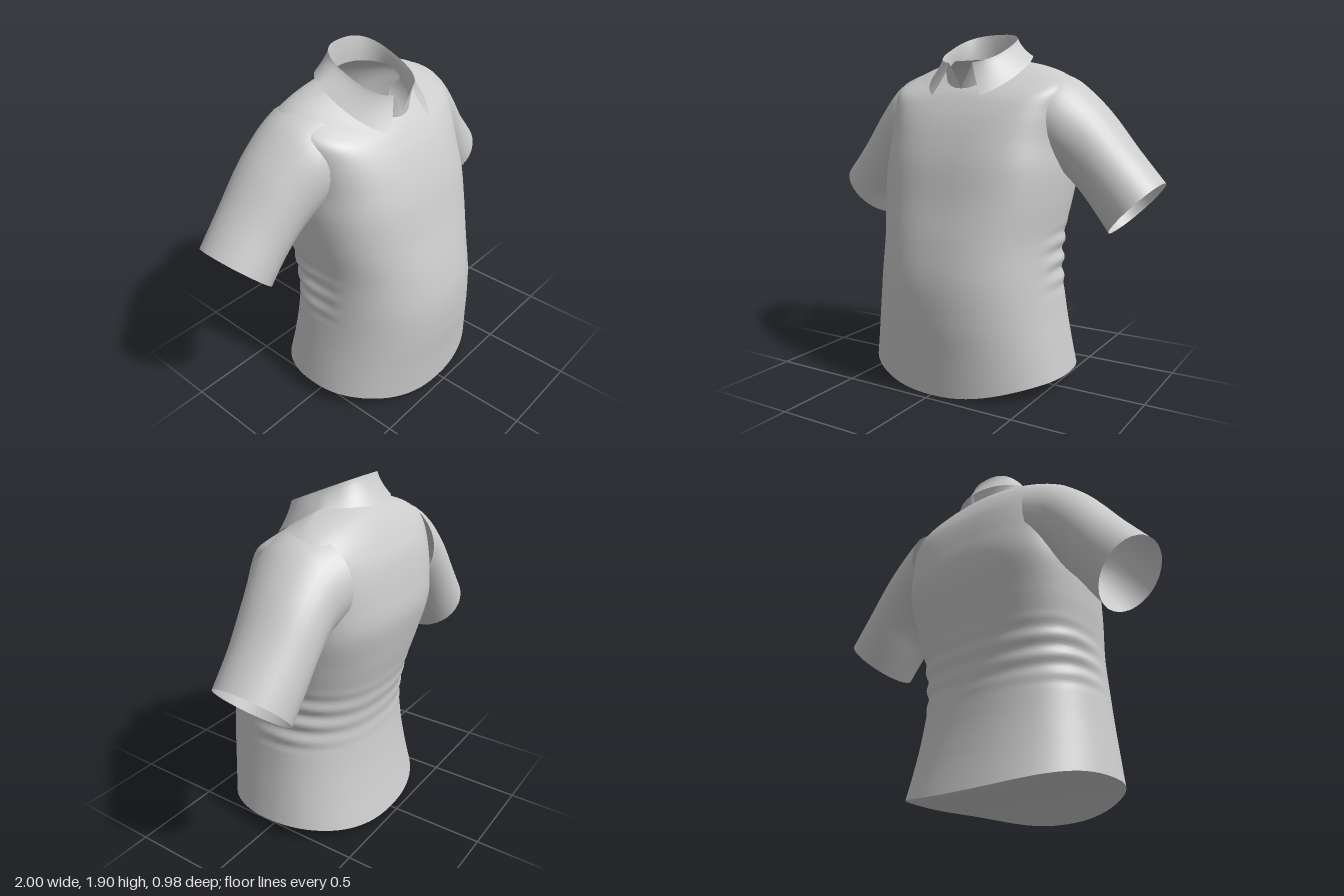
import * as THREE from 'three';

const material = new THREE.MeshStandardMaterial({ color: 0xcccccc, side: THREE.DoubleSide });
const mix = THREE.MathUtils.lerp;
const smooth = THREE.MathUtils.smoothstep;
const power = (x, p) => Math.sign(x) * Math.abs(x) ** p;

// Smooth surface from rows of points; fn(u, v) gives a point, keep() can leave openings.
function loft(name, rows, cols, closed, fn, keep = () => true) {
  const n = closed ? cols : cols + 1;
  const pos = [], idx = [];
  for (let i = 0; i <= rows; i++)
    for (let j = 0; j < n; j++) pos.push(...fn(j / cols, i / rows));
  for (let i = 0; i < rows; i++)
    for (let j = 0; j < cols; j++) {
      const k = (j + 1) % n;
      const a = i * n + j, b = i * n + k, c = b + n, d = a + n;
      if (keep(pos.slice(a * 3, a * 3 + 3))) idx.push(a, b, c, a, c, d);
    }
  const g = new THREE.BufferGeometry();
  g.setAttribute('position', new THREE.Float32BufferAttribute(pos, 3));
  g.setIndex(idx);
  g.computeVertexNormals();
  const mesh = new THREE.Mesh(g, material);
  mesh.name = name;
  return mesh;
}

// Catmull-Rom blend between rows of a parameter table, t in 0..1.
function blend(table, t) {
  const f = t * (table.length - 1);
  const i = Math.min(Math.floor(f), table.length - 2), s = f - i;
  const row = (k) => table[Math.max(0, Math.min(table.length - 1, k))];
  const [p, a, b, q] = [row(i - 1), row(i), row(i + 1), row(i + 2)];
  return a.map((_, k) => {
    const m0 = (b[k] - p[k]) / 2, m1 = (q[k] - a[k]) / 2, d = a[k] - b[k];
    return a[k] + s * (m0 + s * (-3 * d - 2 * m0 - m1 + s * (2 * d + m0 + m1)));
  });
}

// Ring: front y, front z, back y, back z, side x, side y, side z, roundness
const TORSO = [
  [0.00, 0.455, 0.01, -0.465, 0.58, 0.085, 0.00, 0.88],
  [0.20, 0.470, 0.20, -0.420, 0.555, 0.23, 0.00, 0.88],
  [0.40, 0.488, 0.40, -0.385, 0.525, 0.41, 0.00, 0.88],
  [0.60, 0.487, 0.60, -0.370, 0.500, 0.60, 0.00, 0.86],
  [0.80, 0.452, 0.80, -0.400, 0.490, 0.80, -0.02, 0.82],
  [1.00, 0.400, 1.00, -0.450, 0.510, 1.00, -0.06, 0.76],
  [1.20, 0.352, 1.20, -0.490, 0.520, 1.17, -0.11, 0.70],
  [1.34, 0.302, 1.36, -0.477, 0.512, 1.32, -0.15, 0.66],
  [1.44, 0.255, 1.50, -0.448, 0.520, 1.47, -0.16, 0.68],
  [1.51, 0.212, 1.59, -0.408, 0.525, 1.59, -0.16, 0.74],
  [1.55, 0.184, 1.66, -0.365, 0.465, 1.66, -0.16, 0.82],
  [1.575, 0.163, 1.715, -0.32, 0.345, 1.712, -0.14, 0.90],
  [1.59, 0.147, 1.76, -0.255, 0.180, 1.745, -0.08, 0.95],
];

function torsoPoint(u, v) {
  const [fy, fz, by, bz, sx, sy, sz, p] = blend(TORSO, v);
  const s = Math.sin(u * Math.PI * 2), c = Math.cos(u * Math.PI * 2);
  const ey = c > 0 ? fy : by, ez = c > 0 ? fz : bz;
  // ring height bends softly at the hem and tilts straight at the neck
  const y = sy + (ey - sy) * Math.abs(c) ** mix(c > 0 ? 3.5 : 2.5, 1.1, smooth(v, 0.5, 0.9));
  // waist folds, fading in from the sides round the back
  const area = Math.max(0, 1 - ((y - 0.69) / 0.2) ** 2) * smooth(-c, -0.3, 0.15);
  const k = 1 + area * (0.007 + 0.014 * s * s) * Math.sin((y - 0.05 * s * s) * 62);
  return [k * sx * power(s, p), y, sz + k * (ez - sz) * Math.abs(c) ** p];
}

// Sleeve ring: top x, top y, bottom x, bottom y, centre z, half depth
const SLEEVE = [
  [0.40, 1.685, 0.40, 1.20, -0.160, 0.275],
  [0.535, 1.628, 0.49, 1.14, -0.160, 0.252],
  [0.69, 1.485, 0.575, 1.045, -0.180, 0.228],
  [0.85, 1.285, 0.655, 0.935, -0.193, 0.212],
  [1.00, 1.11, 0.73, 0.83, -0.195, 0.205],
];

function sleevePoint(u, v) {
  const [tx, ty, bx, by, cz, rz] = blend(SLEEVE, v);
  const s = Math.sin(u * Math.PI * 2), c = Math.cos(u * Math.PI * 2);
  return [(tx + bx) / 2 + c * (tx - bx) / 2, (ty + by) / 2 + c * (ty - by) / 2, cz + rz * s];
}

// Edges of the collar; angle 0 is the front
function collarTop(a, inset = 0) {
  const c = Math.cos(a);
  const z = -0.06 + power(c, 0.75) * ((c > 0 ? 0.22 : 0.2) - inset);
  return [(0.182 - inset) * power(Math.sin(a), 0.75), 1.787 - 0.417 * z, z];
}
function collarHem(a) {
  const c = Math.cos(a);
  const z = -0.09 + c * (c > 0 ? 0.345 : 0.245);
  return [0.28 * Math.sin(a), Math.min(1.765, 1.67 - 0.57 * z), z];
}
const sweep = (gap, u) => gap + u * (Math.PI * 2 - 2 * gap);

export function createModel() {
  const model = new THREE.Group();
  model.name = 'shirt';

  // Body with open armholes
  const insideArmhole = ([x, y, z]) =>
    Math.abs(x) > 0.4 && ((y - 1.38) / 0.17) ** 2 + ((z + 0.155) / 0.18) ** 2 < 1;
  model.add(loft('body', 150, 80, true, torsoPoint, (p) => !insideArmhole(p)));

  // Closed underside following the curved hem
  model.add(loft('hemPanel', 8, 80, true, (u, v) => {
    const [x, y, z] = torsoPoint(u, 0);
    return [x * v, mix(0.085, y, v * v), z * v];
  }));

  // Sleeves
  for (const side of [1, -1]) {
    const sleeve = loft(side > 0 ? 'leftSleeve' : 'rightSleeve', 28, 32, true, sleevePoint);
    sleeve.scale.x = side;
    model.add(sleeve);
  }

  // Inner collar stand with a V-shaped front notch
  model.add(loft('collarStand', 8, 64, false, (u, v) => {
    const a = sweep(0.3 * v, u);
    const low = torsoPoint(a / (Math.PI * 2), 1), top = collarTop(a, 0.012 * (1 - v));
    return low.map((n, i) => mix(n, top[i], v));
  }));

  // Folded collar, flaring to two front points
  model.add(loft('collarFold', 10, 64, false, (u, v) => {
    const low = collarHem(sweep(0.56, u)), top = collarTop(sweep(0.3, u));
    const flare = (1 - v) ** 1.3;
    return [mix(top[0], low[0], flare), mix(low[1], top[1], v), mix(top[2], low[2], flare)];
  }));

  return model;
}
